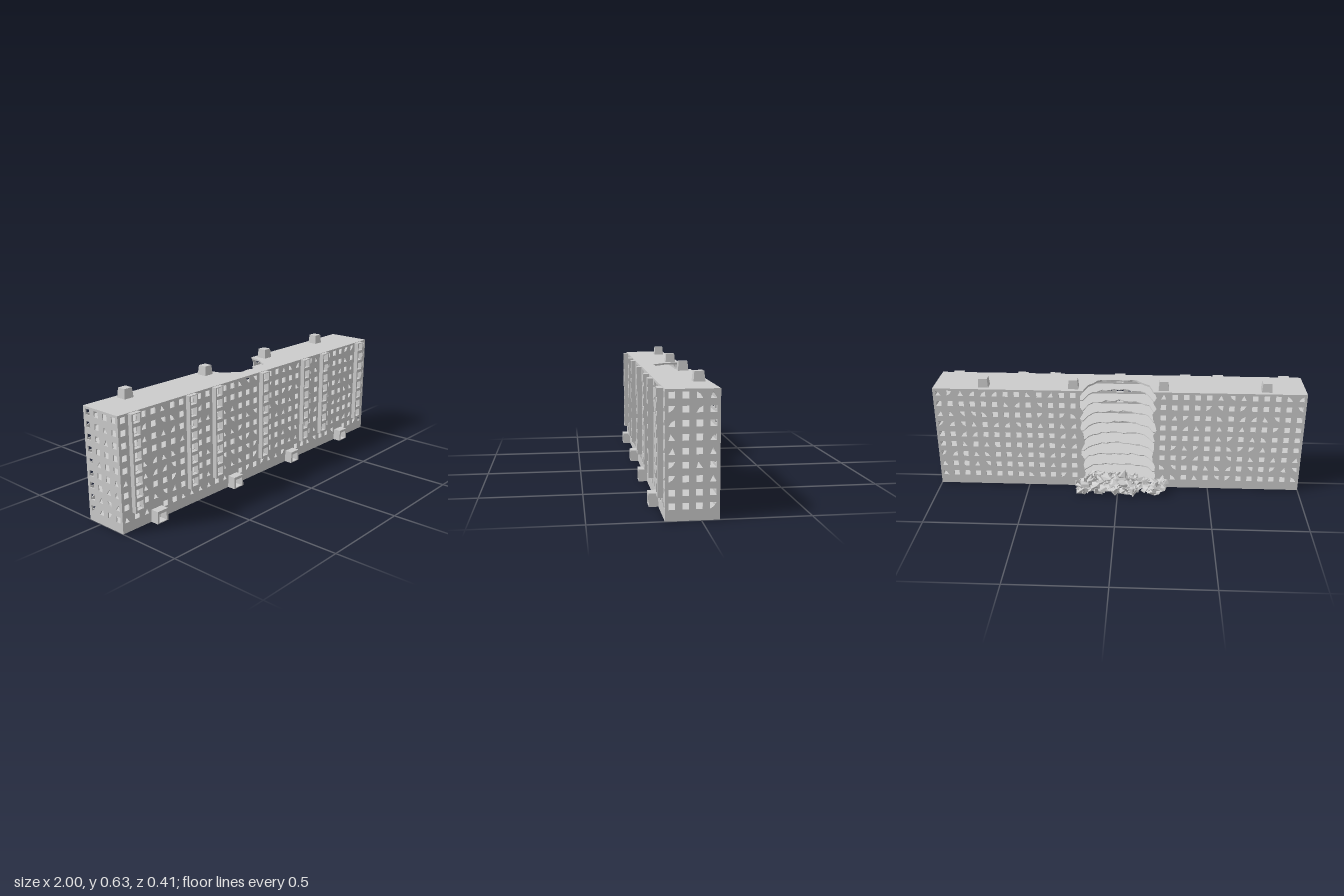
import * as THREE from 'three';

const STEP = 0.0607, FLOORS = 9, TOP = 0.577;
const FRONT = 0.16, BACK = -0.082, WALL = 0.005;
const STAIRS = [-15, -9, -6, 0, 6, 9, 15];   // window columns behind the stair shafts
const ENTRIES = [-13, -4, 4, 12];            // window columns with an entrance

const floorY = (f) => 0.065 + f * STEP;

export function createModel() {
  const group = new THREE.Group();
  const mat = new THREE.MeshStandardMaterial({ color: 0xcccccc, flatShading: true, side: THREE.DoubleSide });

  let seed = 17;
  const rand = () => (seed = (seed * 16807) % 2147483647) / 2147483647;
  const spread = (a) => (rand() - 0.5) * 2 * a;

  function add(name, geo, x = 0, y = 0, z = 0, parent = group) {
    const mesh = new THREE.Mesh(geo, mat);
    mesh.name = name;
    mesh.position.set(x, y, z);
    parent.add(mesh);
    return mesh;
  }
  const poly = (pts) => new THREE.Shape(pts.map(([x, y]) => new THREE.Vector2(x, y)));
  const rect = (x0, y0, x1, y1) => poly([[x0, y0], [x1, y0], [x1, y1], [x0, y1]]);
  const extrude = (shape, depth) => new THREE.ExtrudeGeometry(shape, { depth, bevelEnabled: false });

  // Broken window: a square, or a square with one corner pulled in
  function windowHole(x, y) {
    const r = 0.0145;
    const pts = [[x - r, y - r], [x + r, y - r], [x + r, y + r], [x - r, y + r]];
    const kind = rand();
    if (kind < 0.2) pts.splice(2, 2, [x + spread(0.008), y + r]);
    else if (kind < 0.5) {
      const k = Math.floor(rand() * 4);
      pts[k] = [x + (pts[k][0] - x) * 0.25, y + (pts[k][1] - y) * 0.25];
    }
    return poly(pts);
  }

  // Front wall with windows, stair openings and doorways
  const front = rect(-1, 0, 1, TOP);
  for (let i = -16; i <= 16; i++) {
    for (let f = 0; f < FLOORS; f++) {
      const x = i * STEP, y = floorY(f);
      if (f > 0 && STAIRS.includes(i)) front.holes.push(rect(x - 0.019, y - 0.02, x + 0.019, y + 0.02));
      else if (f === 0 && ENTRIES.includes(i)) front.holes.push(rect(x - 0.02, 0.004, x + 0.02, 0.048));
      else front.holes.push(windowHole(x, y));
    }
  }
  add('frontWall', extrude(front, WALL), 0, 0, FRONT - WALL);

  // Back wall halves with a ragged edge at the collapsed bay
  for (const side of [-1, 1]) {
    const pts = [[side, 0], [side, TOP]];
    for (let k = 18; k >= 0; k--) pts.push([side * (0.196 + spread(0.014)), k * TOP / 18]);
    const wall = poly(pts);
    for (let i = 4; i <= 16; i++)
      for (let f = 0; f < FLOORS; f++) wall.holes.push(windowHole(side * i * STEP, floorY(f)));
    add(side < 0 ? 'backWallRight' : 'backWallLeft', extrude(wall, WALL), 0, 0, BACK);
  }

  // End walls, drawn in z and y then turned sideways
  for (const side of [-1, 1]) {
    const wall = rect(BACK, 0, FRONT, TOP);
    for (let c = 0; c < 4; c++)
      for (let f = 0; f < FLOORS; f++) wall.holes.push(windowHole(0.13 - c * 0.0605, floorY(f)));
    const geo = extrude(wall, WALL);
    geo.rotateY(-Math.PI / 2);
    add(side < 0 ? 'endWallRight' : 'endWallLeft', geo, side < 0 ? -1 + WALL : 1);
  }

  // Floor slabs and roof, bitten away in a bowl that deepens towards the top
  function brokenSlab(biteZ, thickness, inset) {
    const pts = [[-1 + inset, FRONT - inset], [-1 + inset, BACK + inset]];
    const n = 16;
    for (let k = 0; k <= n; k++) {
      const t = k / n * 2 - 1;
      const bowl = Math.pow(1 - t * t, 0.45);
      pts.push([t * 0.19, BACK + inset + (biteZ - BACK) * bowl + (k % n ? spread(0.013) : 0)]);
    }
    pts.push([1 - inset, BACK + inset], [1 - inset, FRONT - inset]);
    const geo = extrude(poly(pts), thickness);
    geo.rotateX(Math.PI / 2);
    return geo;
  }
  for (let f = 0; f < FLOORS; f++) {
    add('floorSlab', brokenSlab(f === 0 ? -0.03 : -0.01 + f * 0.0105, 0.005, 0.003), 0, floorY(f) - 0.027, 0);
  }
  add('roof', brokenSlab(0.09, 0.01, 0), 0, TOP, 0);

  // Stair shafts: projecting ladders of open frames
  const shaft = rect(-0.029, 0.09, 0.029, TOP - 0.002);
  for (let f = 1; f < FLOORS; f++) {
    const y = floorY(f);
    shaft.holes.push(rect(-0.02, y - 0.022, 0.02, y + 0.021));
  }
  const shaftGeo = extrude(shaft, 0.025);
  for (const i of STAIRS) add('stairShaft', shaftGeo, i * STEP, 0, FRONT);

  // Entrance porches, slightly flared towards the ground
  const porchGeo = extrude(poly([
    [-0.036, 0], [-0.033, 0.063], [0.033, 0.063], [0.036, 0],
    [0.024, 0], [0.023, 0.048], [-0.023, 0.048], [-0.024, 0],
  ]), 0.044);
  // Tapered roof vents
  const ventGeo = new THREE.CylinderGeometry(0.0325, 0.039, 0.05, 4, 1);
  ventGeo.rotateY(Math.PI / 4);
  for (const i of ENTRIES) {
    add('porch', porchGeo, i * STEP, 0, FRONT);
    add('porchSill', new THREE.BoxGeometry(0.07, 0.004, 0.044), i * STEP, 0.002, FRONT + 0.022);
    add('roofVent', ventGeo, i * STEP, TOP + 0.024, -0.031);
  }

  // Rubble heap: jagged flat shards, higher near the building
  const rubble = new THREE.Group();
  rubble.name = 'rubble';
  group.add(rubble);
  for (let k = 0; k < 230; k++) {
    const size = 0.012 + rand() * 0.014;
    const geo = new THREE.BoxGeometry(size * 2, size * 0.7, size * 1.5);
    const p = geo.attributes.position;
    const corners = Array.from({ length: 8 }, () => [spread(0.5), spread(0.6), spread(0.5)]);
    for (let v = 0; v < p.count; v++) {
      const c = corners[(p.getX(v) > 0 ? 1 : 0) + (p.getY(v) > 0 ? 2 : 0) + (p.getZ(v) > 0 ? 4 : 0)];
      p.setXYZ(v, p.getX(v) + c[0] * size, p.getY(v) + c[1] * size, p.getZ(v) + c[2] * size);
    }
    geo.rotateX(spread(0.6));
    geo.rotateY(spread(3));
    geo.rotateZ(spread(0.5));
    geo.computeVertexNormals();
    geo.computeBoundingBox();
    const z = -0.178 + rand() * 0.155;
    const inside = z > BACK;
    const x = inside ? spread(0.165) : -0.02 + spread(0.235);
    const height = inside ? 0.055 : 0.056 - Math.max(0, -0.14 - z) * 0.4;
    const y = Math.max(rand() * height, -geo.boundingBox.min.y);
    add('shard', geo, x, y, z, rubble);
  }
  return group;
}
